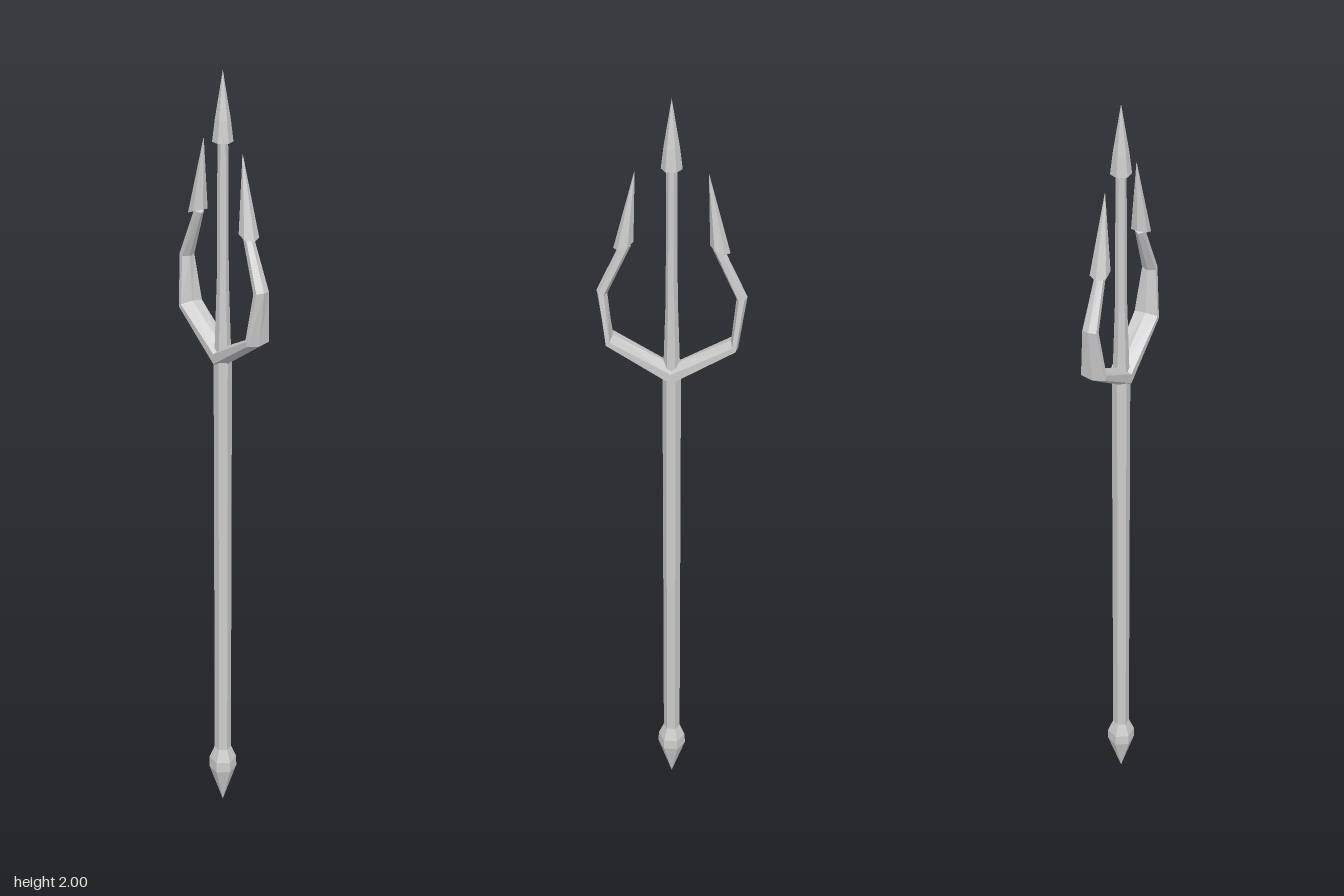
import * as THREE from 'three';

const material = new THREE.MeshStandardMaterial({ color: 0xcccccc, flatShading: true });

function addMesh(parent, name, geometry) {
  const mesh = new THREE.Mesh(geometry, material);
  mesh.name = name;
  parent.add(mesh);
  return mesh;
}

// Six-sided turned piece, profile of [radius, y] from bottom to top
function turned(profile) {
  return new THREE.LatheGeometry(profile.map(([r, y]) => new THREE.Vector2(r, y)), 6);
}

// Hexagonal loft. Section: [outer z, outer y, inner z, inner y, half width in x]
function hexLoft(sections) {
  const positions = [], index = [], last = (sections.length - 1) * 6;
  sections.forEach(([oz, oy, iz, iy, w], s) => {
    for (let i = 0; i < 6; i++) {
      const a = i * Math.PI / 3, c = Math.cos(a) / 2;
      const side = [0, 1, 1, 0, -1, -1][i];
      positions.push(side * w, (oy + iy) / 2 + (oy - iy) * c, (oz + iz) / 2 + (oz - iz) * c);
      if (s > 0) {
        const j = (i + 1) % 6, b = (s - 1) * 6, t = s * 6;
        index.push(b + i, b + j, t + j, b + i, t + j, t + i);
      }
    }
  });
  // end caps
  for (let i = 1; i < 5; i++) {
    index.push(0, i + 1, i, last, last + i, last + i + 1);
  }
  const geometry = new THREE.BufferGeometry();
  geometry.setAttribute('position', new THREE.Float32BufferAttribute(positions, 3));
  geometry.setIndex(index);
  geometry.computeVertexNormals();
  return geometry;
}

export function createModel() {
  const model = new THREE.Group();
  model.name = 'trident';

  // Handle and pointed foot
  addMesh(model, 'shaft', turned([[0.022, 0.16], [0.022, 1.31], [0, 1.34]]));
  addMesh(model, 'pommel', turned([[0, 0], [0.037, 0.115], [0.036, 0.145], [0.022, 0.18]]));

  // Middle prong
  addMesh(model, 'centreProng', turned([[0.021, 1.3], [0.019, 1.36], [0.014, 1.52], [0.012, 1.86]]));
  addMesh(model, 'centreSpearhead', turned([[0, 1.845], [0.024, 1.84], [0.018, 1.89], [0, 2]]));

  // Curved outer prongs with one-sided barbs, front and back
  for (const [name, turn] of [['front', 0], ['back', Math.PI]]) {
    const prong = new THREE.Group();
    prong.name = name + 'Prong';
    prong.rotation.y = turn;
    addMesh(prong, name + 'Arm', hexLoft([
      [0, 1.295, 0, 1.345, 0.027],
      [0.155, 1.4, 0.138, 1.418, 0.03],
      [0.173, 1.535, 0.148, 1.528, 0.017],
      [0.114, 1.66, 0.092, 1.65, 0.01],
    ]));
    addMesh(prong, name + 'Barb', hexLoft([
      [0.132, 1.643, 0.086, 1.66, 0.02],
      [0.082, 1.83, 0.081, 1.83, 0.0005],
    ]));
    model.add(prong);
  }
  return model;
}
